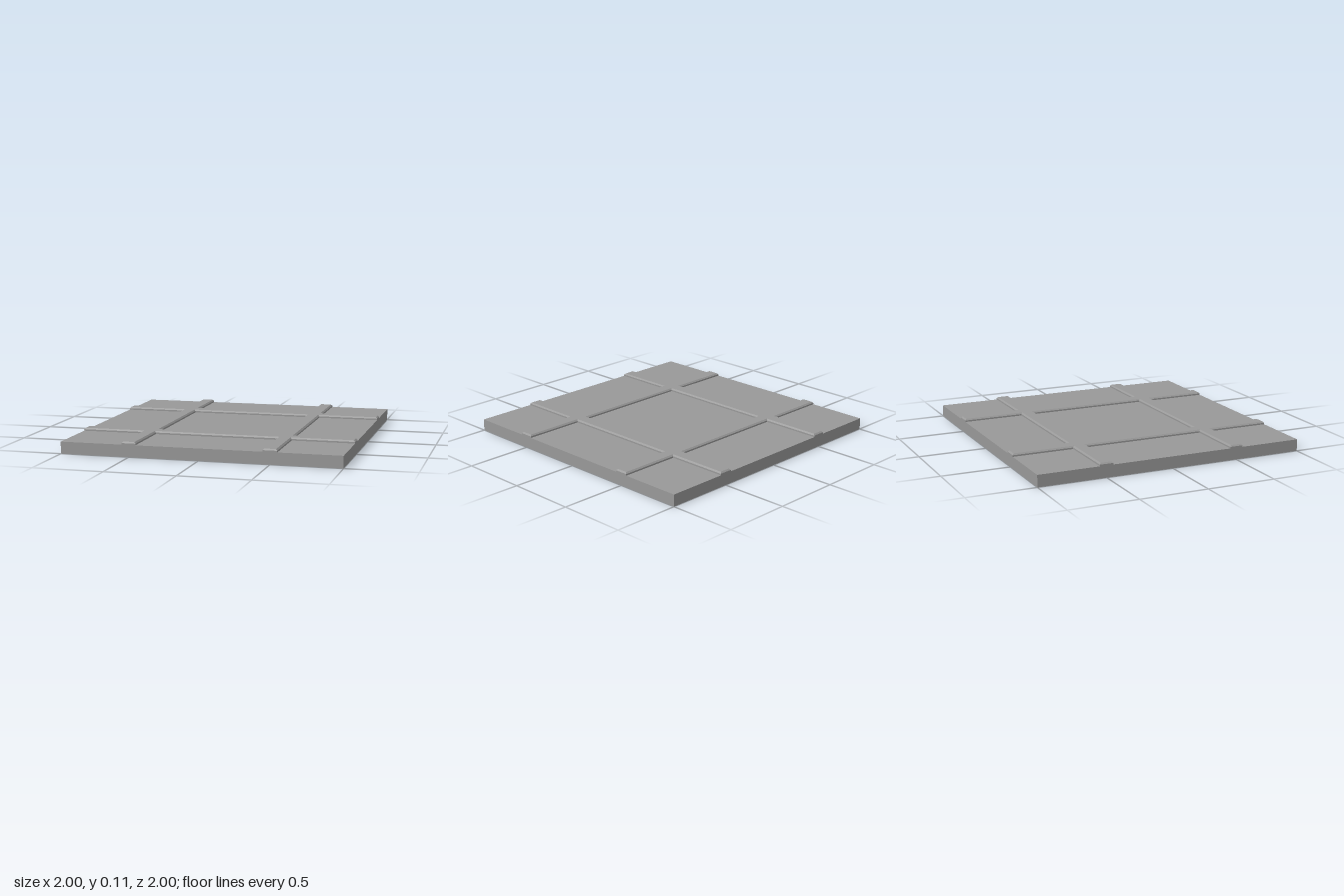
import * as THREE from 'three';

const SLAB_TOP = 0.086;   // height of the flat plate
const RIB_TOP = 0.107;    // height of the raised ribs
const INNER = 0.45;       // rib edges, measured from the centre
const OUTER = 0.55;
const HALF = 1;
const BEVEL = 0.01;

// Outline of two crossed pairs of ribs, one corner repeated by quarter turns
function ribGridShape() {
  const corner = [
    [OUTER, INNER], [HALF, INNER], [HALF, OUTER], [OUTER, OUTER],
    [OUTER, HALF], [INNER, HALF], [INNER, OUTER],
  ];
  const points = [];
  for (let i = 0; i < 4; i++) {
    for (const [x, y] of corner) {
      points.push(new THREE.Vector2([x, -y, -x, y][i], [y, x, -y, -x][i]));
    }
  }
  const shape = new THREE.Shape(points);
  shape.holes.push(new THREE.Path([
    new THREE.Vector2(-INNER, -INNER), new THREE.Vector2(-INNER, INNER),
    new THREE.Vector2(INNER, INNER), new THREE.Vector2(INNER, -INNER),
  ]));
  return shape;
}

export function createModel() {
  const group = new THREE.Group();
  group.name = 'floorPanel';

  const grey = new THREE.MeshStandardMaterial({ color: 0x999999 });
  grey.name = 'grey';

  // Flat base plate
  const slab = new THREE.Mesh(new THREE.BoxGeometry(2 * HALF, SLAB_TOP, 2 * HALF), grey);
  slab.name = 'basePlate';
  slab.position.y = SLAB_TOP / 2;
  group.add(slab);

  // Raised ribs with chamfered top edges; the lower chamfer is sunk in the plate
  const ribGeometry = new THREE.ExtrudeGeometry(ribGridShape(), {
    depth: RIB_TOP - SLAB_TOP - BEVEL,
    bevelEnabled: true,
    bevelSegments: 1,
    bevelSize: BEVEL,
    bevelThickness: BEVEL,
    bevelOffset: -BEVEL,
  });
  ribGeometry.rotateX(-Math.PI / 2);
  const ribs = new THREE.Mesh(ribGeometry, grey);
  ribs.name = 'raisedRibs';
  ribs.position.y = SLAB_TOP;
  group.add(ribs);

  return group;
}
